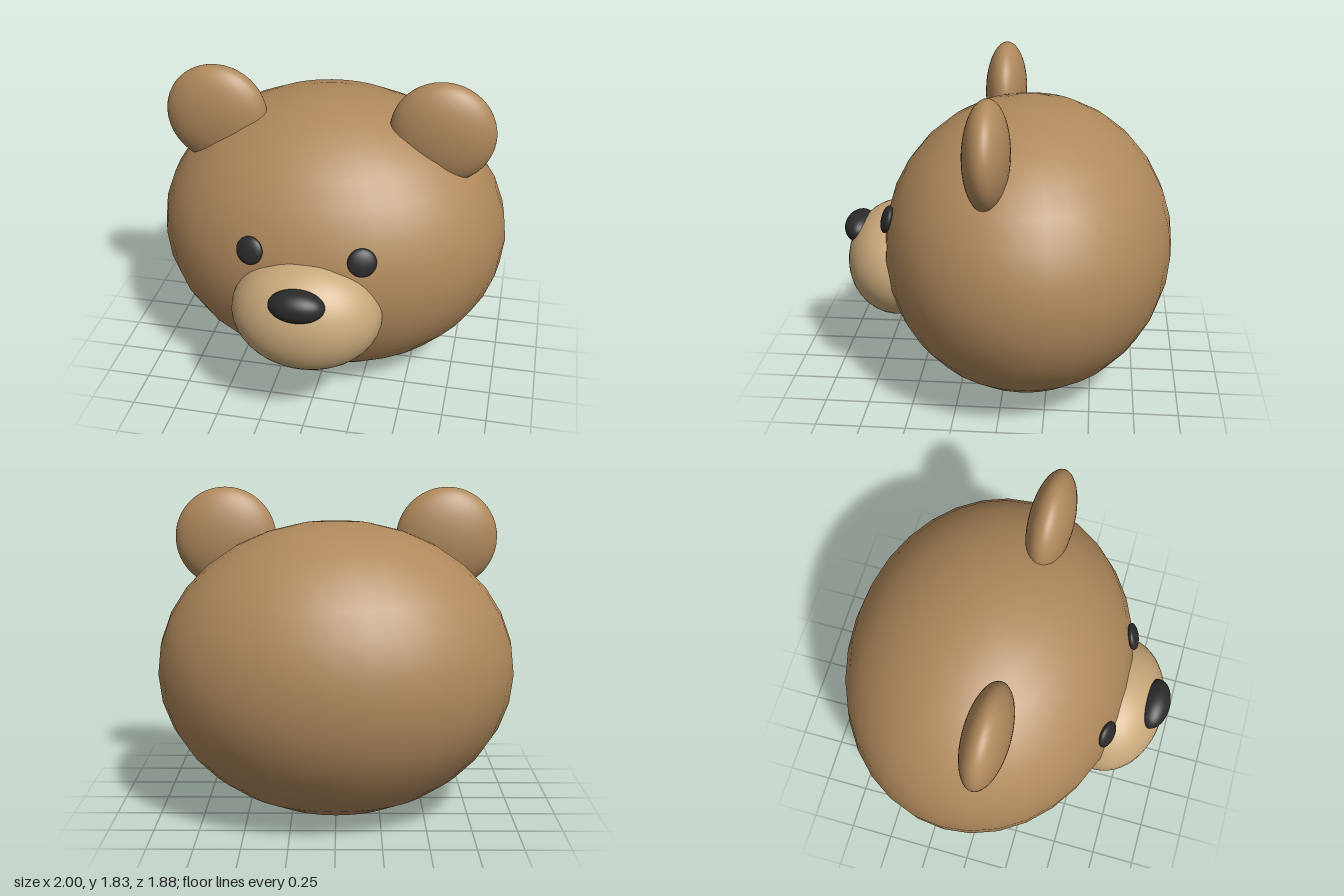
import * as THREE from 'three';

const fur = new THREE.MeshStandardMaterial({ color: 0xb0895c });
const cream = new THREE.MeshStandardMaterial({ color: 0xc8a87a });
const black = new THREE.MeshStandardMaterial({ color: 0x2a2a2a });

// Ellipsoid with the given centre and radii
function ellipsoid(name, material, center, radii, segments = 48) {
  const geometry = new THREE.SphereGeometry(1, segments, segments / 2);
  geometry.scale(...radii);
  const mesh = new THREE.Mesh(geometry, material);
  mesh.name = name;
  mesh.position.set(...center);
  return mesh;
}

export function createModel() {
  const model = new THREE.Group();
  model.name = 'bearHead';

  // Head, muzzle and nose
  model.add(ellipsoid('head', fur, [0, 0.835, -0.12], [1, 0.83, 0.82], 32));
  model.add(ellipsoid('muzzle', cream, [0, 0.705, 0.62], [0.41, 0.325, 0.305]));
  model.add(ellipsoid('nose', black, [0, 0.888, 0.855], [0.15, 0.087, 0.09]));

  // Paired ears and eyes
  for (const [side, s] of [['left', 1], ['right', -1]]) {
    model.add(ellipsoid(side + 'Ear', fur, [s * 0.625, 1.55, 0.055], [0.286, 0.286, 0.123]));

    // Flat eye turned to lie along the head surface
    const eye = ellipsoid(side + 'Eye', black, [s * 0.3, 1.055, 0.64], [0.077, 0.077, 0.03], 32);
    const normal = new THREE.Vector3(s * 0.3, 0.36, 1.1).normalize();
    eye.quaternion.setFromUnitVectors(new THREE.Vector3(0, 0, 1), normal);
    model.add(eye);
  }
  return model;
}
